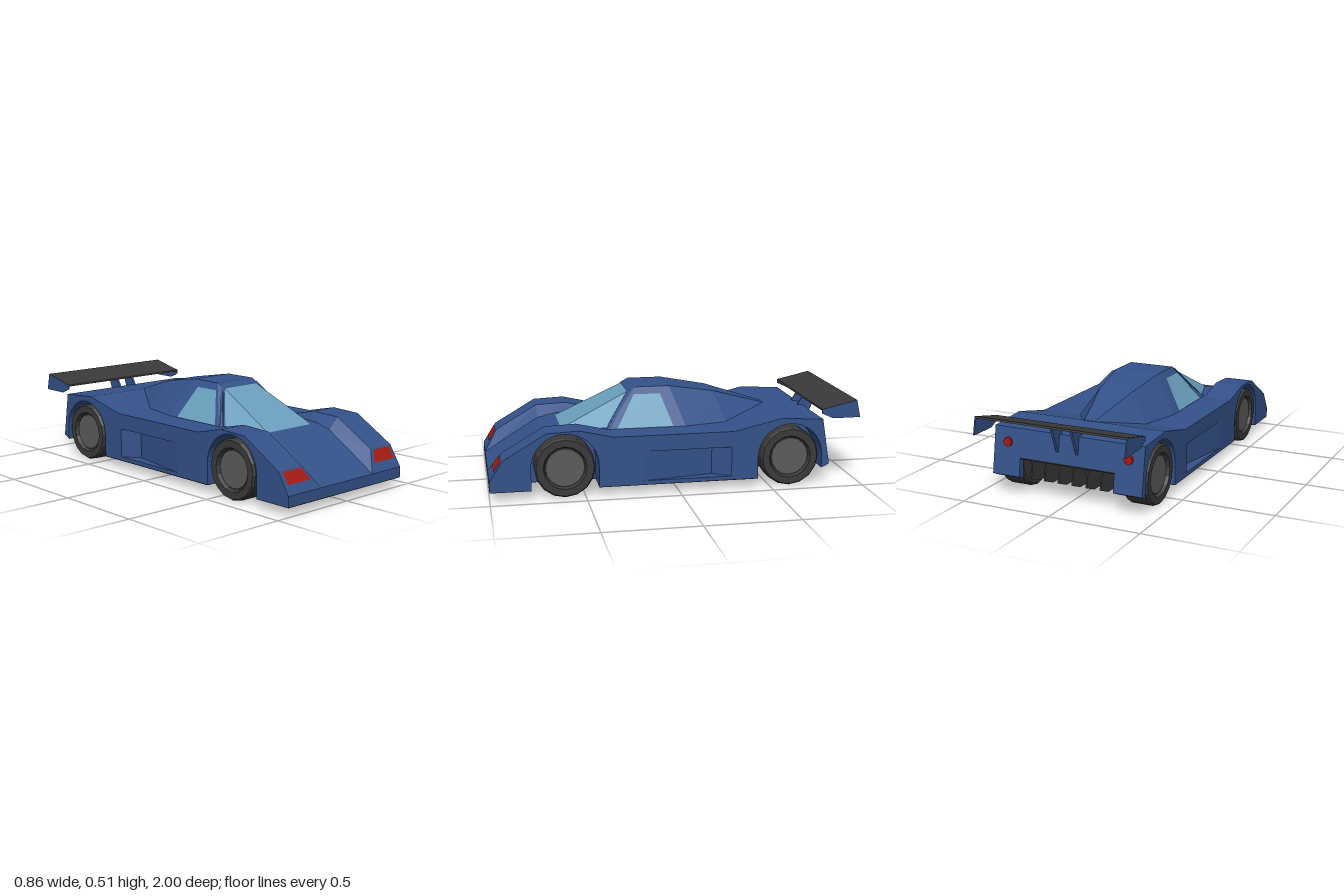
import * as THREE from 'three';

const mat = (color) => new THREE.MeshStandardMaterial({ color, flatShading: true, side: THREE.DoubleSide });
const BLUE = mat(0x34528a), GLASS = mat(0x6a9fbe), RED = mat(0xa51c10);
const DARK = mat(0x3a3a3a), BLACK = mat(0x1e1e1e), HUB = mat(0x5c5c5c);

export function createModel() {
  const car = new THREE.Group();
  car.name = 'raceCar';

  const add = (name, geometry, material) => {
    const mesh = new THREE.Mesh(geometry, material);
    mesh.name = name;
    car.add(mesh);
    return mesh;
  };

  const shapeOf = (pts) => new THREE.Shape(pts.map(([a, b]) => new THREE.Vector2(a, b)));

  // Side profile given as (z, y), extruded across x from x0 to x1
  const acrossX = (shape, x0, x1) =>
    new THREE.ExtrudeGeometry(shape, { depth: x1 - x0, bevelEnabled: false, curveSegments: 10 })
      .rotateY(-Math.PI / 2).translate(x1, 0, 0);

  const fromTriangles = (positions) => {
    const g = new THREE.BufferGeometry();
    g.setAttribute('position', new THREE.Float32BufferAttribute(positions, 3));
    g.computeVertexNormals();
    return g;
  };

  // Skin over half rings (listed upward on +x, mirrored to -x), front to back
  const loft = (halfRings) => {
    const rings = halfRings.map((h) => [...h, ...h.map(([x, y, z]) => [-x, y, z]).reverse()]);
    const out = [], n = rings[0].length, last = rings[rings.length - 1];
    for (let i = 0; i < rings.length - 1; i++) {
      for (let j = 0; j < n; j++) {
        const k = (j + 1) % n, a = rings[i][j], b = rings[i][k], c = rings[i + 1][k], d = rings[i + 1][j];
        out.push(...a, ...d, ...c, ...a, ...c, ...b);
      }
    }
    for (let j = 1; j < n - 1; j++) {
      out.push(...rings[0][0], ...rings[0][j], ...rings[0][j + 1]);
      out.push(...last[0], ...last[j + 1], ...last[j]);
    }
    return fromTriangles(out);
  };

  const quad = (a, b, c, d) => fromTriangles([...a, ...b, ...c, ...a, ...c, ...d]);

  // Centre body: z, fender height, fender edge x, hood edge x, hood height, bottom, bottom z
  const stations = [
    [1, 0.105, 0.197, 0.195, 0.105, 0.05, 1],
    [0.93, 0.215, 0.265, 0.2, 0.148, 0.05, 0.93],
    [0.7, 0.35, 0.265, 0.2, 0.29, 0.05, 0.7],
    [0.6, 0.354, 0.265, 0.215, 0.31, 0.05, 0.6],
    [0.53, 0.357, 0.265, 0.23, 0.311, 0.05, 0.53],
    [0.35, 0.315, 0.265, 0.26, 0.315, 0.05, 0.35],
    [-0.3, 0.315, 0.265, 0.26, 0.315, 0.05, -0.3],
    [-0.43, 0.345, 0.265, 0.26, 0.345, 0.05, -0.43],
    [-0.56, 0.375, 0.265, 0.26, 0.375, 0.106, -0.56],
    [-0.79, 0.36, 0.265, 0.26, 0.36, 0.21, -0.814],
  ];
  add('centreBody', loft(stations.map(([z, fy, ex, hx, hy, by, bz]) =>
    [[0.27, by, bz], [0.27, fy, z], [ex, fy, z], [hx, hy, z]])), BLUE);

  // Side body profile with wheel arches and a hole for the side intake
  const AXLES = [0.606, -0.609], ARCH = 0.178, AXLE_Y = 0.165;
  const side = new THREE.Shape();
  side.moveTo(1, 0.05);
  [[1, 0.105], [0.93, 0.215], [0.7, 0.35], [0.53, 0.357], [0.35, 0.315], [-0.3, 0.315],
    [-0.56, 0.375], [-0.79, 0.36], [-0.83, 0.11], [-0.787, 0.09]].forEach(([z, y]) => side.lineTo(z, y));
  side.lineTo(AXLES[1] - ARCH, AXLE_Y);
  side.absarc(AXLES[1], AXLE_Y, ARCH, Math.PI, 0, true);
  side.lineTo(AXLES[1] + ARCH, 0.05);
  side.lineTo(AXLES[0] - ARCH, 0.05);
  side.lineTo(AXLES[0] - ARCH, AXLE_Y);
  side.absarc(AXLES[0], AXLE_Y, ARCH, Math.PI, 0, true);
  side.lineTo(AXLES[0] + ARCH, 0.05);
  side.closePath();
  side.holes.push(shapeOf([[0.195, 0.07], [0.195, 0.23], [-0.285, 0.23], [-0.285, 0.07]]));

  // Wheel cross-section from the inner face to the recessed outer face
  const tyreProfile = [[0, -0.07], [0.15, -0.07], [0.16, -0.058], [0.16, 0.058], [0.152, 0.07],
    [0.115, 0.07], [0.106, 0.05], [0, 0.05]].map(([r, y]) => new THREE.Vector2(r, y));

  for (const s of [1, -1]) {
    const label = s > 0 ? 'left' : 'right';
    const m = ([x, y, z]) => [s * x, y, z];
    const span = (a, b) => (s > 0 ? [a, b] : [-b, -a]);
    const panel = (name, pts, material) => {
      const p = pts.map(m);
      add(label + name, quad(...(s > 0 ? p : p.reverse())), material);
    };

    add(label + 'Fenders', acrossX(side, ...span(0.27, 0.428)), BLUE);

    // Intake wall slopes inward toward the rear, then returns to the flank
    const plan = shapeOf([[0.27, 0.195], [0.428, 0.195], [0.362, -0.19], [0.428, -0.285], [0.27, -0.285]]
      .map(([x, z]) => [s * x, z]));
    add(label + 'SideIntake', new THREE.ExtrudeGeometry(plan, { depth: 0.16, bevelEnabled: false })
      .rotateX(Math.PI / 2).translate(0, 0.23, 0), BLUE);

    panel('Headlight', [[0.245, 0.152, 0.975], [0.406, 0.152, 0.975], [0.406, 0.21, 0.938], [0.278, 0.21, 0.938]], RED);
    add(label + 'TailLight', new THREE.CylinderGeometry(0.025, 0.025, 0.02, 8)
      .rotateX(Math.PI / 2).translate(s * 0.345, 0.285, -0.804), RED);

    // Windscreen corner, pillar and side window
    panel('WindscreenCorner', [[0.165, 0.311, 0.6], [0.242, 0.32, 0.365], [0.12, 0.49, 0.232], [0.12, 0.49, 0.232]], GLASS);
    panel('Pillar', [[0.242, 0.32, 0.365], [0.264, 0.315, 0.345], [0.132, 0.505, 0.215], [0.12, 0.49, 0.232]], BLUE);
    panel('SideWindow', [[0.26, 0.319, 0.305], [0.26, 0.319, 0], [0.156, 0.48, 0.055], [0.156, 0.48, 0.2]], GLASS);

    // Wheels
    AXLES.forEach((z, i) => {
      const wheel = new THREE.Group();
      wheel.name = label + (i ? 'RearWheel' : 'FrontWheel');
      const tyre = new THREE.Mesh(new THREE.LatheGeometry(tyreProfile, 16), DARK);
      tyre.name = 'tyre';
      const hub = new THREE.Mesh(new THREE.CylinderGeometry(0.1, 0.1, 0.012, 16), HUB);
      hub.name = 'hub';
      hub.position.y = 0.05;
      wheel.add(tyre, hub);
      wheel.rotation.z = -s * Math.PI / 2;
      wheel.position.set(s * 0.356, 0.16, z);
      car.add(wheel);
    });

    // Wing end plate and centre strut
    add(label + 'WingEndPlate', acrossX(shapeOf([[-0.785, 0.412], [-0.98, 0.456], [-1, 0.362], [-0.845, 0.362],
      [-0.785, 0.39]]), ...span(0.418, 0.425)), BLUE);
    add(label + 'WingStrut', acrossX(shapeOf([[-0.76, 0.36], [-0.79, 0.408], [-0.87, 0.425], [-0.845, 0.36],
      [-0.803, 0.265]]), ...span(0.049, 0.063)), BLUE);

    // Floor beside the wheels
    for (const [z0, z1] of [[0.784, 1], [-0.431, 0.428]]) {
      add(label + 'FloorEdge', new THREE.BoxGeometry(0.158, 0.004, z1 - z0)
        .translate(s * 0.349, 0.049, (z0 + z1) / 2), BLACK);
    }
  }

  // Cabin tapering to the tail
  add('cabin', loft([
    [[0.26, 0.31, 0.365], [0.128, 0.495, 0.226]],
    [[0.26, 0.31, 0.33], [0.13, 0.515, 0.19]],
    [[0.26, 0.313, -0.07], [0.13, 0.515, 0]],
    [[0.2, 0.314, -0.31], [0.1, 0.472, -0.25]],
    [[0.04, 0.37, -0.56], [0.03, 0.377, -0.565]],
  ]), BLUE);
  add('windscreen', quad([-0.165, 0.311, 0.6], [0.165, 0.311, 0.6], [0.12, 0.49, 0.232], [-0.12, 0.49, 0.232]), GLASS);

  // Underside and diffuser
  add('floor', new THREE.BoxGeometry(0.54, 0.004, 1.43).translate(0, 0.049, 0.285), BLACK);
  add('diffuserRoof', acrossX(shapeOf([[-0.43, 0.052], [-0.43, 0.046], [-0.56, 0.102], [-0.816, 0.206], [-0.814, 0.212],
    [-0.56, 0.108]]), -0.268, 0.268), BLACK);
  for (let i = 0; i < 6; i++) {
    const x = -0.2 + i * 0.08;
    add('diffuserFin', acrossX(shapeOf([[-0.5, 0.078], [-0.75, 0.08], [-0.83, 0.112], [-0.812, 0.208],
      [-0.56, 0.105]]), x - 0.004, x + 0.004), DARK);
  }

  // Rear wing
  add('rearWing', acrossX(shapeOf([[-0.785, 0.404], [-0.787, 0.413], [-0.98, 0.457], [-0.983, 0.447]]), -0.42, 0.42), DARK);

  return car;
}
